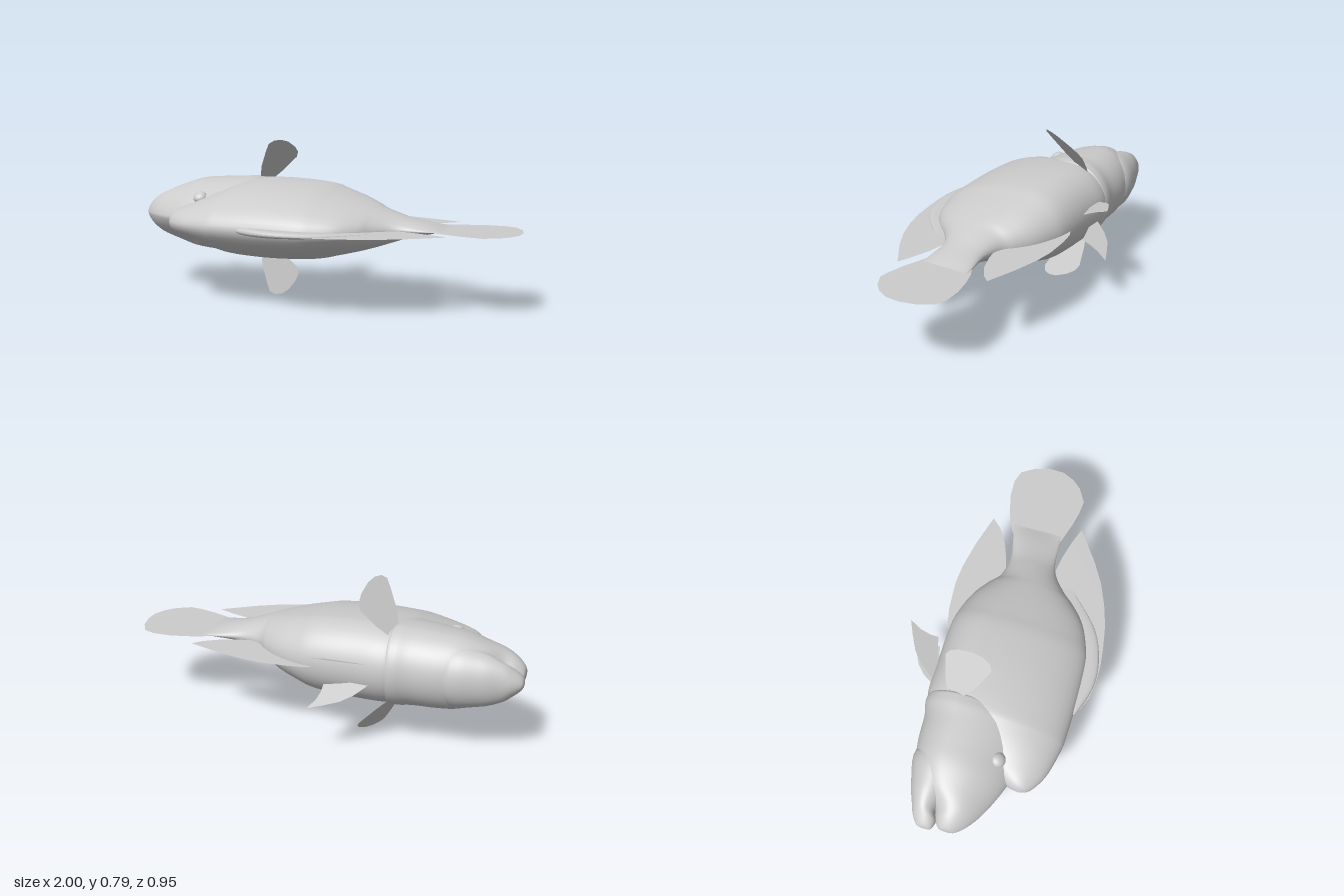
import * as THREE from 'three';

const MID = 0.403; // height of the fish's plane of symmetry
const skin = new THREE.MeshStandardMaterial({ color: 0xcccccc });
const finSkin = new THREE.MeshStandardMaterial({ color: 0xcccccc, side: THREE.DoubleSide });

// Smooth loft along x. Each row: [x, zMin, zMax, half width, position of widest point 0..1].
// "pinch" narrows the dorsal half of the cross-section.
function loft(name, rows, pinch = 1, steps = 5, sides = 48) {
  const spanCurve = new THREE.CatmullRomCurve3(rows.map(r => new THREE.Vector3(r[0], r[1], r[2])), false, 'catmullrom');
  const sideCurve = new THREE.CatmullRomCurve3(rows.map(r => new THREE.Vector3(r[3], r[4], 0)), false, 'catmullrom');
  const n = (rows.length - 1) * steps;
  const pos = [], idx = [];
  for (let i = 0; i <= n; i++) {
    const s = spanCurve.getPoint(i / n), w = sideCurve.getPoint(i / n);
    const zw = s.y + (s.z - s.y) * w.y;
    for (let j = 0; j < sides; j++) {
      const t = (j / sides) * Math.PI * 2, c = Math.cos(t), sn = Math.sin(t);
      const z = zw + c * (c > 0 ? s.z - zw : zw - s.y);
      const bend = c > 0 ? Math.pow(Math.abs(sn), pinch) : Math.abs(sn);
      pos.push(s.x, MID + Math.max(w.x, 0) * Math.sign(sn) * bend, z);
      if (i < n) {
        const a = i * sides + j, b = i * sides + (j + 1) % sides;
        idx.push(a, a + sides, b, b, a + sides, b + sides);
      }
    }
  }
  const g = new THREE.BufferGeometry();
  g.setAttribute('position', new THREE.Float32BufferAttribute(pos, 3));
  g.setIndex(idx);
  g.computeVertexNormals();
  const mesh = new THREE.Mesh(g, skin);
  mesh.name = name;
  return mesh;
}

// Thin fin from an (x, z) outline, lifted by a height rule
function fin(name, outline, height = () => 0) {
  const g = new THREE.ShapeGeometry(new THREE.Shape(outline.map(([x, z]) => new THREE.Vector2(x, -z))));
  const p = g.attributes.position;
  for (let i = 0; i < p.count; i++) {
    const x = p.getX(i), z = -p.getY(i);
    p.setXYZ(i, x, MID + height(x, z), z);
  }
  g.computeVertexNormals();
  const mesh = new THREE.Mesh(g, finSkin);
  mesh.name = name;
  return mesh;
}

export function createModel() {
  const fish = new THREE.Group();
  fish.name = 'fish';

  // Body with overhanging nape hump, narrowing into the tail stalk
  fish.add(loft('body', [
    [-0.712, 0.245, 0.255, 0, 0.5],
    [-0.695, 0.19, 0.3, 0.045, 0.5],
    [-0.65, 0.1, 0.337, 0.075, 0.45],
    [-0.58, 0, 0.37, 0.105, 0.4],
    [-0.46, -0.2, 0.398, 0.165, 0.32],
    [-0.39, -0.295, 0.405, 0.193, 0.28],
    [-0.2, -0.303, 0.408, 0.2, 0.28],
    [0, -0.3, 0.4, 0.187, 0.28],
    [0.1, -0.28, 0.375, 0.163, 0.3],
    [0.2, -0.24, 0.33, 0.135, 0.33],
    [0.28, -0.185, 0.262, 0.11, 0.38],
    [0.33, -0.14, 0.205, 0.092, 0.43],
    [0.4, -0.118, 0.145, 0.068, 0.47],
    [0.47, -0.115, 0.116, 0.045, 0.5],
    [0.57, -0.135, 0.108, 0.022, 0.5],
    [0.635, -0.142, 0.1, 0.003, 0.5],
  ], 1.1));

  // Head with upper lip; its rear rim forms the gill cover
  fish.add(loft('head', [
    [-0.987, -0.03, -0.01, 0, 0.5],
    [-0.978, -0.06, 0.025, 0.036, 0.5],
    [-0.94, -0.085, 0.068, 0.075, 0.45],
    [-0.88, -0.11, 0.113, 0.11, 0.4],
    [-0.8, -0.2, 0.155, 0.148, 0.35],
    [-0.7, -0.255, 0.195, 0.18, 0.35],
    [-0.6, -0.276, 0.22, 0.19, 0.35],
    [-0.48, -0.283, 0.245, 0.197, 0.35],
    [-0.4, -0.3, 0.245, 0.201, 0.35],
    [-0.36, -0.27, 0.2, 0.175, 0.35],
    [-0.33, -0.1, 0.05, 0, 0.5],
  ], 1.4));

  // Lower jaw
  fish.add(loft('lowerJaw', [
    [-1, -0.135, -0.115, 0, 0.5],
    [-0.99, -0.163, -0.09, 0.03, 0.5],
    [-0.95, -0.193, -0.078, 0.066, 0.5],
    [-0.9, -0.213, -0.09, 0.098, 0.5],
    [-0.8, -0.248, -0.05, 0.135, 0.5],
    [-0.65, -0.27, 0, 0.15, 0.5],
    [-0.55, -0.15, -0.1, 0, 0.5],
  ]));

  // Thick front base of the dorsal fin
  fish.add(loft('dorsalRidge', [
    [-0.285, 0.37, 0.4, 0, 0.5],
    [-0.24, 0.34, 0.428, 0.016, 0.7],
    [-0.1, 0.34, 0.468, 0.017, 0.7],
    [0.05, 0.32, 0.455, 0.014, 0.7],
    [0.2, 0.28, 0.39, 0.009, 0.6],
    [0.36, 0.13, 0.24, 0, 0.5],
  ], 0.8, 5, 16));

  // Fins on the plane of symmetry
  fish.add(fin('dorsalFin', [
    [-0.28, 0.39], [-0.24, 0.43], [-0.17, 0.46], [-0.1, 0.472], [0, 0.474], [0.1, 0.463], [0.22, 0.443],
    [0.33, 0.41], [0.44, 0.365], [0.55, 0.302], [0.7, 0.195], [0.62, 0.165], [0.52, 0.138], [0.4, 0.12],
    [0.3, 0.18], [0.15, 0.3], [0, 0.36],
  ]));
  fish.add(fin('analFin', [
    [-0.04, -0.29], [0.02, -0.32], [0.1, -0.335], [0.24, -0.345], [0.34, -0.336], [0.48, -0.307],
    [0.64, -0.26], [0.6, -0.215], [0.53, -0.17], [0.44, -0.135], [0.34, -0.11], [0.2, -0.18], [0.05, -0.25],
  ]));
  fish.add(fin('tailFin', [
    [0.55, -0.12], [0.63, -0.165], [0.7, -0.19], [0.79, -0.212], [0.88, -0.216], [0.94, -0.195],
    [0.98, -0.13], [1, -0.05], [0.998, 0.02], [0.97, 0.08], [0.93, 0.125], [0.86, 0.165], [0.8, 0.16],
    [0.72, 0.143], [0.63, 0.115], [0.55, 0.09],
  ]));

  // Paired fins and eyes, mirrored about the plane of symmetry
  for (const side of [1, -1]) {
    const label = side > 0 ? 'upper' : 'lower';
    fish.add(fin(label + 'PectoralFin', [
      [-0.385, -0.11], [-0.38, -0.165], [-0.365, -0.195], [-0.31, -0.218], [-0.235, -0.235], [-0.22, -0.215],
      [-0.217, -0.17], [-0.225, -0.1], [-0.24, -0.05], [-0.262, -0.01], [-0.285, 0.005], [-0.31, -0.015], [-0.355, -0.06],
    ], (x, z) => side * (0.19 + 1.138 * (x + 0.385) + 0.587 * (z + 0.12))));
    fish.add(fin(label + 'PelvicFin', [
      [-0.31, -0.27], [-0.29, -0.31], [-0.25, -0.365], [-0.2, -0.41], [-0.13, -0.445], [-0.06, -0.475],
      [-0.085, -0.42], [-0.092, -0.37], [-0.088, -0.33], [-0.2, -0.3], [-0.24, -0.26],
    ], (x, z) => side * (0.05 + 0.43 * (-z - 0.29))));
    const eye = new THREE.Mesh(new THREE.SphereGeometry(0.036, 24, 16), skin);
    eye.name = label + 'Eye';
    eye.scale.y = 0.7;
    eye.position.set(-0.61, MID + side * 0.108, 0.13);
    eye.rotation.x = side * 0.5;
    fish.add(eye);
  }
  return fish;
}
